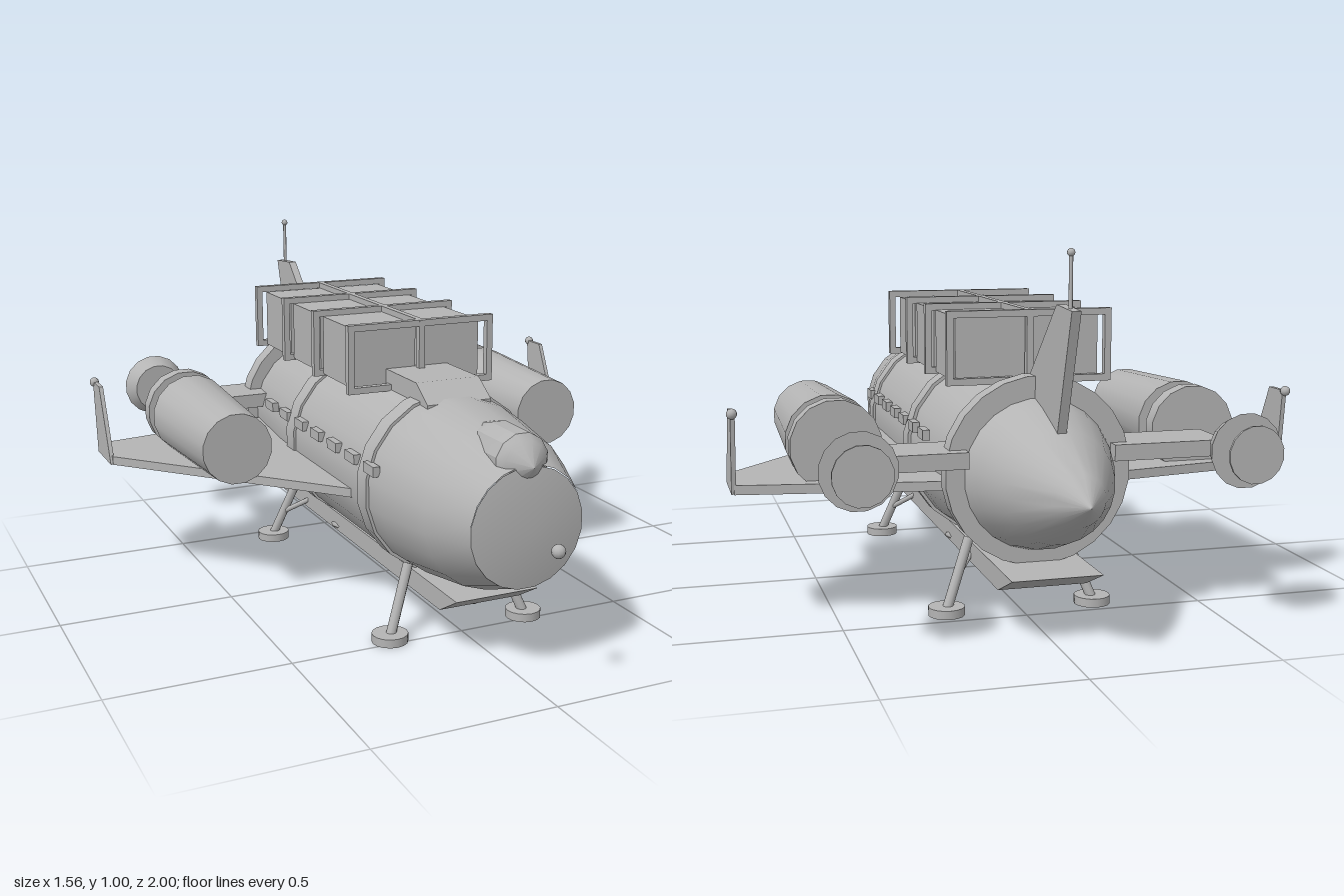
import * as THREE from 'three';
import { toCreasedNormals } from 'three/addons/utils/BufferGeometryUtils.js';

export function createModel() {
  const ship = new THREE.Group();
  ship.name = 'shuttle';
  const hull = new THREE.MeshStandardMaterial({ color: 0xb4b4b4 });
  hull.name = 'hull grey';

  const add = (name, geo, x = 0, y = 0, z = 0) => {
    const m = new THREE.Mesh(geo, hull);
    m.name = name;
    m.position.set(x, y, z);
    ship.add(m);
    return m;
  };
  const box = (name, w, h, d, x, y, z) => add(name, new THREE.BoxGeometry(w, h, d), x, y, z);
  const ball = (name, r, x, y, z) => add(name, new THREE.SphereGeometry(r, 12, 8), x, y, z);

  // Turned part along z; profile points are [radius, z] from back to front
  const turned = (name, pts, x, y, seg = 16) => {
    const g = new THREE.LatheGeometry(pts.map(p => new THREE.Vector2(...p)), seg, Math.PI / seg);
    g.rotateX(Math.PI / 2);
    return add(name, toCreasedNormals(g, 0.5), x, y, 0);
  };
  const extrude = (pts, t) => {
    const g = new THREE.ExtrudeGeometry(new THREE.Shape(pts.map(p => new THREE.Vector2(...p))),
      { depth: t, bevelEnabled: false });
    return g.translate(0, 0, -t / 2);
  };
  // Upright plate: points [z, y], thickness along x
  const sidePlate = (name, pts, t, x = 0) => add(name, extrude(pts, t).rotateY(-Math.PI / 2), x);
  // Level plate: points [x, z], thickness along y
  const levelPlate = (name, pts, t, y) =>
    add(name, extrude(pts.map(([x, z]) => [x, -z]), t).rotateX(-Math.PI / 2), 0, y);
  // Round bar between two points
  const rod = (name, a, b, r) => {
    const p = new THREE.Vector3(...a), q = new THREE.Vector3(...b);
    const d = q.clone().sub(p);
    const m = add(name, new THREE.CylinderGeometry(r, r, d.length(), 10));
    m.position.copy(p).add(q).multiplyScalar(0.5);
    m.quaternion.setFromUnitVectors(new THREE.Vector3(0, 1, 0), d.normalize());
  };

  // Fuselage, tail cone and collars
  const cy = 0.41;
  turned('fuselage', [[0, -0.57], [0.215, -0.57], [0.222, -0.5], [0.245, -0.25], [0.25, -0.1], [0.25, 0.4],
    [0.245, 0.5], [0.215, 0.69], [0.16, 0.835]], 0, cy, 20);
  turned('noseCap', [[0.16, 0.835], [0, 0.86]], 0, cy - 0.003, 20);
  turned('tailCone', [[0.205, -0.6], [0.205, -0.57]].reverse().length ? [[0, -1], [0.065, -0.92], [0.145, -0.77], [0.185, -0.66],
    [0.205, -0.58]] : [], 0, cy, 24);
  turned('tailCollar', [[0.19, -0.6], [0.25, -0.6], [0.25, -0.545], [0.19, -0.545]], 0, cy + 0.008, 24);
  for (const z of [0.395, -0.14])
    turned('hullBand', [[0.24, z - 0.03], [0.257, z - 0.03], [0.257, z + 0.03], [0.24, z + 0.03]], 0, cy, 20);
  ball('noseProbe', 0.018, 0, 0.395, 0.98);

  // Cockpit blister and the fairing behind it
  turned('cockpit', [[0, 0.58], [0.04, 0.595], [0.065, 0.63], [0.078, 0.68], [0.076, 0.8], [0.06, 0.82], [0, 0.86]], 0, 0.568, 12);
  sidePlate('cockpitFairing', [[0.2, 0.58], [0.47, 0.58], [0.47, 0.645], [0.4, 0.692], [0.2, 0.692]], 0.19);

  // Cargo rack: six crates held by four hoops and a top rail
  for (const z of [0.1, -0.14, -0.38])
    for (const s of [-1, 1]) box('cargoCrate', 0.19, 0.17, 0.218, s * 0.1, 0.727, z);
  for (const z of [0.233, -0.02, -0.262, -0.507]) {
    for (const s of [-1, 1]) box('rackPost', 0.018, 0.19, 0.02, s * 0.215, 0.733, z);
    for (const y of [0.645, 0.82]) box('rackBeam', 0.448, 0.018, 0.02, 0, y, z);
    box('rackCentrePost', 0.018, 0.19, 0.02, 0, 0.733, z);
  }
  box('rackTopRail', 0.018, 0.018, 0.76, 0, 0.82, -0.135);

  // Tail fin with aerial
  sidePlate('tailFin', [[-0.52, 0.635], [-0.765, 0.862], [-0.88, 0.855], [-0.775, 0.53], [-0.6, 0.53]], 0.024);
  rod('aerial', [0, 0.85, -0.835], [0, 0.99, -0.835], 0.005);
  ball('aerialTip', 0.01, 0, 0.99, -0.835);

  // Keel tray with a belly dome and sensor studs
  sidePlate('keel', [[0.695, 0.178], [0.6, 0.122], [-0.635, 0.12], [-0.765, 0.178]], 0.24);
  const dome = ball('bellyDome', 0.11, 0, 0.134, -0.11);
  dome.scale.set(1.2, 0.18, 1);
  for (const z of [0.57, 0.285, 0, -0.28, -0.565]) ball('bellyStud', 0.01, 0, 0.117, z);

  for (const s of [-1, 1]) {
    // Wing, winglet and tip light
    levelPlate('wing', [[s * 0.2, 0.36], [s * 0.765, -0.275], [s * 0.765, -0.44], [s * 0.2, -0.535]], 0.025, 0.377);
    sidePlate('winglet', [[-0.275, 0.365], [-0.38, 0.58], [-0.46, 0.58], [-0.435, 0.365]], 0.012, s * 0.766);
    ball('wingtipLight', 0.014, s * 0.768, 0.578, -0.46);

    // Engine pod, ring, exhaust cone and end disc
    const ex = s * 0.5, ey = 0.478;
    turned('enginePod', [[0, -0.335], [0.122, -0.335], [0.102, 0.1], [0, 0.1]], ex, ey);
    turned('engineRing', [[0, -0.435], [0.122, -0.435], [0.122, -0.388], [0, -0.388]], ex, ey);
    turned('exhaustCone', [[0, -0.77], [0.098, -0.77], [0.076, -0.712], [0, -0.712]], ex, ey);
    turned('exhaustDisc', [[0, -0.83], [0.075, -0.83], [0.075, -0.823], [0, -0.823]], ex, ey);
    box('enginePylon', 0.31, 0.043, 0.165, s * 0.35, 0.462, -0.553);

    // Row of side windows
    for (let i = 0; i < 7; i++) box('window', 0.02, 0.028, 0.065, s * 0.243, 0.481, 0.437 - i * 0.127);

    // Landing legs, front and rear
    for (const f of [1, -1]) {
      const z = f > 0 ? 0.478 : -0.437;
      add('footPad', new THREE.CylinderGeometry(0.05, 0.05, 0.024, 16), s * 0.208, 0.013, z);
      rod('legStrut', [s * 0.205, 0.02, z], [s * 0.135, 0.2, z - f * 0.04], 0.014);
      rod('legBrace', [s * 0.18, 0.09, z - f * 0.015], [s * 0.11, 0.15, z - f * 0.095], 0.008);
    }
  }
  return ship;
}
